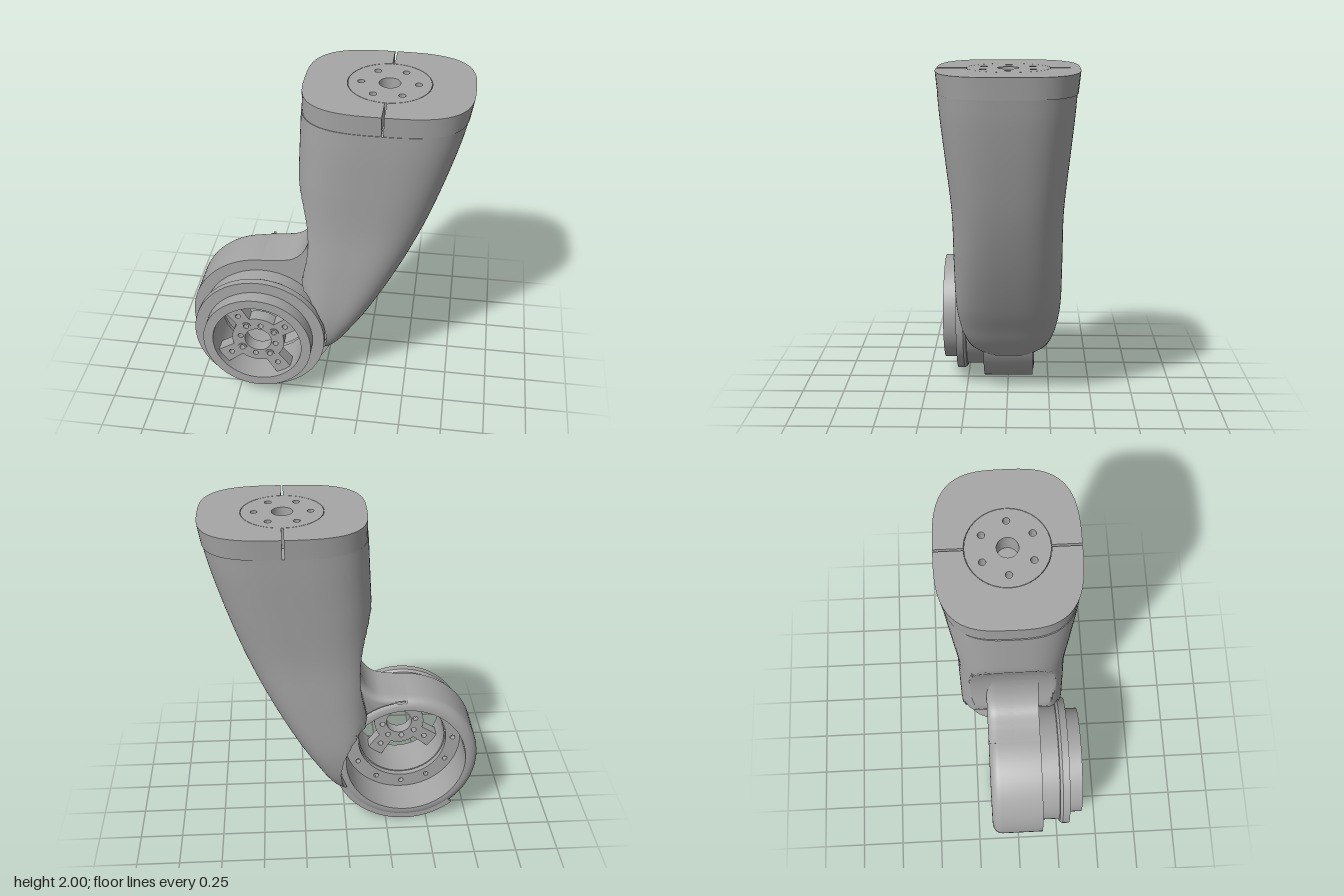
import * as THREE from 'three';
import { toCreasedNormals } from 'three/addons/utils/BufferGeometryUtils.js';

const CX = -0.365, CY = 0.435;      // joint axis
const TX = 0.333, TZ = -0.01;       // top flange centre

export function createModel() {
  const group = new THREE.Group();
  const grey = new THREE.MeshStandardMaterial({ color: 0xa6a6a6 });
  grey.name = 'satin grey';

  const add = (name, geo, crease = 0.6) => {
    const mesh = new THREE.Mesh(toCreasedNormals(geo, crease), grey);
    mesh.name = name;
    group.add(mesh);
    return mesh;
  };
  // Ring turned about the joint axis; profile is [radius, z], counterclockwise
  const turned = (name, profile) => {
    const pts = [...profile, profile[0]].map(([r, z]) => new THREE.Vector2(r, z));
    const mesh = add(name, new THREE.LatheGeometry(pts, 72).rotateX(Math.PI / 2));
    mesh.position.set(CX, CY, 0);
    return mesh;
  };
  const extrude = (shape, z0, z1, curveSegments = 24) =>
    new THREE.ExtrudeGeometry(shape, { depth: z1 - z0, bevelEnabled: false, curveSegments }).translate(0, 0, z0);
  const hole = (shape, x, y, r) => shape.holes.push(new THREE.Path().absarc(x, y, r, 0, Math.PI * 2, true));
  const disc = (r) => new THREE.Shape().absarc(0, 0, r, 0, Math.PI * 2, false);
  const holeCircle = (shape, n, radius, r, start = 0) => {
    for (let i = 0; i < n; i++) {
      const a = start + i * Math.PI * 2 / n;
      hole(shape, radius * Math.cos(a), radius * Math.sin(a), r);
    }
  };
  const lookup = (table, y) => {
    let i = 0;
    while (i < table.length - 2 && y < table[i + 1][0]) i++;
    const [y0, v0] = table[i], [y1, v1] = table[i + 1];
    return v0 + (v1 - v0) * THREE.MathUtils.clamp((y - y0) / (y1 - y0), 0, 1);
  };
  const spow = (v, n) => Math.sign(v) * Math.abs(v) ** (2 / n);

  // Arm: squarish sections, trimmed on the joint side for clearance
  const back = new THREE.CatmullRomCurve3([
    [0.77, 1.885, 0.372], [0.74, 1.75, 0.362], [0.67, 1.5, 0.338], [0.57, 1.2, 0.312],
    [0.44, 0.9, 0.31], [0.28, 0.6, 0.305], [0.19, 0.46, 0.285], [0.14, 0.38, 0.262],
    [0.085, 0.305, 0.22], [0.045, 0.255, 0.15],
  ].map((p) => new THREE.Vector3(...p)));
  const inner = [[1.885, -0.13], [1.48, -0.15], [0.25, -0.16]];
  const cut = [[1.5, -0.155], [1.46, -0.147], [1.38, -0.122], [1.28, -0.095], [1.18, -0.08], [1.08, -0.076],
    [0.97, -0.085], [0.76, -0.13], [0.7, -0.065], [0.65, -0.028], [0.55, 0.018], [0.435, 0.035],
    [0.33, 0.02], [0.25, -0.01]];
  const N = 120, rows = back.getPoints(54), pos = [], idx = [];
  rows.forEach(({ x: right, y, z: half }) => {
    const left = lookup(inner, y), c = (left + right) / 2, w = (right - left) / 2;
    const limit = Math.max(left, lookup(cut, y));
    for (let j = 0; j < N; j++) {
      const t = j / N * Math.PI * 2;
      pos.push(Math.max(limit, c + w * spow(Math.cos(t), 3)), y, -0.006 + half * spow(Math.sin(t), 3));
    }
  });
  const last = rows.length - 1, top = rows.length * N, bottom = top + 1;
  pos.push(TX, 1.885, TZ, 0.02, rows[last].y, -0.006);
  for (let j = 0; j < N; j++) {
    const k = (j + 1) % N;
    for (let i = 0; i < last; i++) {
      const a = i * N + j, b = i * N + k;
      idx.push(a, b, a + N, b, b + N, a + N);
    }
    idx.push(top, k, j, bottom, last * N + j, last * N + k);
  }
  const armGeo = new THREE.BufferGeometry();
  armGeo.setAttribute('position', new THREE.Float32BufferAttribute(pos, 3));
  armGeo.setIndex(idx);
  add('arm', armGeo, 0.5);

  // Split collar at the top of the arm
  for (const s of [1, -1]) {
    const pts = [], M = 40;
    for (let i = 0; i <= M; i++) {
      const t = (i / M - 0.5) * Math.PI;
      pts.push(new THREE.Vector2(TX + s * Math.max(0.006, 0.457 * spow(Math.cos(t), 3.1)), -TZ + 0.384 * spow(Math.sin(t), 3.1)));
    }
    for (let i = 0; i <= M; i++) {
      const t = (0.5 - i / M) * (Math.PI - 0.054);
      pts.push(new THREE.Vector2(TX + s * 0.226 * Math.cos(t), -TZ + 0.226 * Math.sin(t)));
    }
    const geo = extrude(new THREE.Shape(pts), 1.885, 2).rotateX(-Math.PI / 2);
    const p = geo.attributes.position;
    for (let i = 0; i < p.count; i++) {
      if (p.getY(i) > 1.95) continue;
      p.setZ(i, p.getZ(i) * 0.97);
      if (s > 0) p.setX(i, TX + (p.getX(i) - TX) * 0.96);
    }
    add(s > 0 ? 'collarLeft' : 'collarRight', geo);
  }

  // Mounting disc with a bolt circle
  const mount = disc(0.224);
  hole(mount, 0, 0, 0.058);
  holeCircle(mount, 6, 0.153, 0.019);
  add('mountingDisc', extrude(mount, 1.885, 2, 16).rotateX(-Math.PI / 2)).position.set(TX, 0, TZ);

  // Neck between arm and joint, rounded at the back
  const neck = new THREE.Shape();
  neck.moveTo(CX, 0.87);
  neck.splineThru([[-0.27, 0.878], [-0.18, 0.9], [-0.115, 0.965], [-0.084, 1.06], [-0.078, 1.16]]
    .map((p) => new THREE.Vector2(...p)));
  neck.lineTo(0.1, 1.2);
  neck.lineTo(0.1, CY);
  neck.lineTo(CX + 0.4, CY);
  neck.absarc(CX, CY, 0.4, 0, Math.PI / 2, false);
  add('neckFront', extrude(neck, -0.1, 0.145));
  add('neckBack', new THREE.ExtrudeGeometry(neck, {
    depth: 0.1, bevelEnabled: true, bevelThickness: 0.055, bevelSize: 0.03, bevelOffset: -0.03,
    bevelSegments: 5, curveSegments: 24,
  }).translate(0, 0, -0.105));

  // Joint housing with a rounded back rim
  const rim = [];
  for (let i = 0; i <= 6; i++) {
    const a = i / 6 * Math.PI / 2;
    rim.push([0.375 + 0.06 * Math.sin(a), -0.1 - 0.06 * Math.cos(a)]);
  }
  turned('jointHousing', [[0.36, -0.16], ...rim, [0.435, 0.145], [0.36, 0.145]]);

  // Square-edged lower part of the housing
  const a0 = Math.PI * 1.27, a1 = Math.PI * 2;
  const lower = new THREE.Shape().absarc(CX, CY, 0.435, a0, a1, false);
  lower.absarc(CX, CY, 0.365, a1, a0, true);
  add('housingLowerEdge', extrude(lower, -0.153, 0.1));

  // Front bearing cover: neck, flange and raised ring
  turned('bearingCover', [[0.362, 0.11], [0.362, 0.25], [0.378, 0.252], [0.39, 0.268], [0.39, 0.31],
    [0.322, 0.31], [0.322, 0.39], [0.265, 0.39], [0.265, 0.11]]);

  // Inner bolt ring seen from the back
  const seat = disc(0.365);
  hole(seat, 0, 0, 0.272);
  holeCircle(seat, 12, 0.315, 0.015);
  add('innerBoltRing', extrude(seat, 0.075, 0.115)).position.set(CX, CY, 0);

  // Hub and spokes
  const hubTurn = THREE.MathUtils.degToRad(35);
  const hub = disc(0.156);
  hole(hub, 0, 0, 0.08);
  holeCircle(hub, 4, 0.118, 0.016, hubTurn);
  holeCircle(hub, 4, 0.106, 0.016, hubTurn + Math.PI / 4);
  add('hub', extrude(hub, 0.27, 0.35)).position.set(CX, CY, 0);
  for (let i = 0; i < 4; i++) {
    const a = hubTurn + i * Math.PI / 2;
    const spoke = new THREE.Shape([[0.146, -0.045], [0.275, -0.052], [0.275, 0.052], [0.146, 0.045]]
      .map((p) => new THREE.Vector2(...p)));
    hole(spoke, 0.2, 0, 0.016);
    const arm = add('spoke', extrude(spoke, 0.27, 0.35));
    arm.position.set(CX, CY, 0);
    arm.rotation.z = a;
    // Bolt collar on the hub
    const collar = disc(0.027);
    hole(collar, 0, 0, 0.016);
    add('boltCollar', extrude(collar, 0.345, 0.356))
      .position.set(CX + 0.118 * Math.cos(a), CY + 0.118 * Math.sin(a), 0);
  }
  return group;
}
